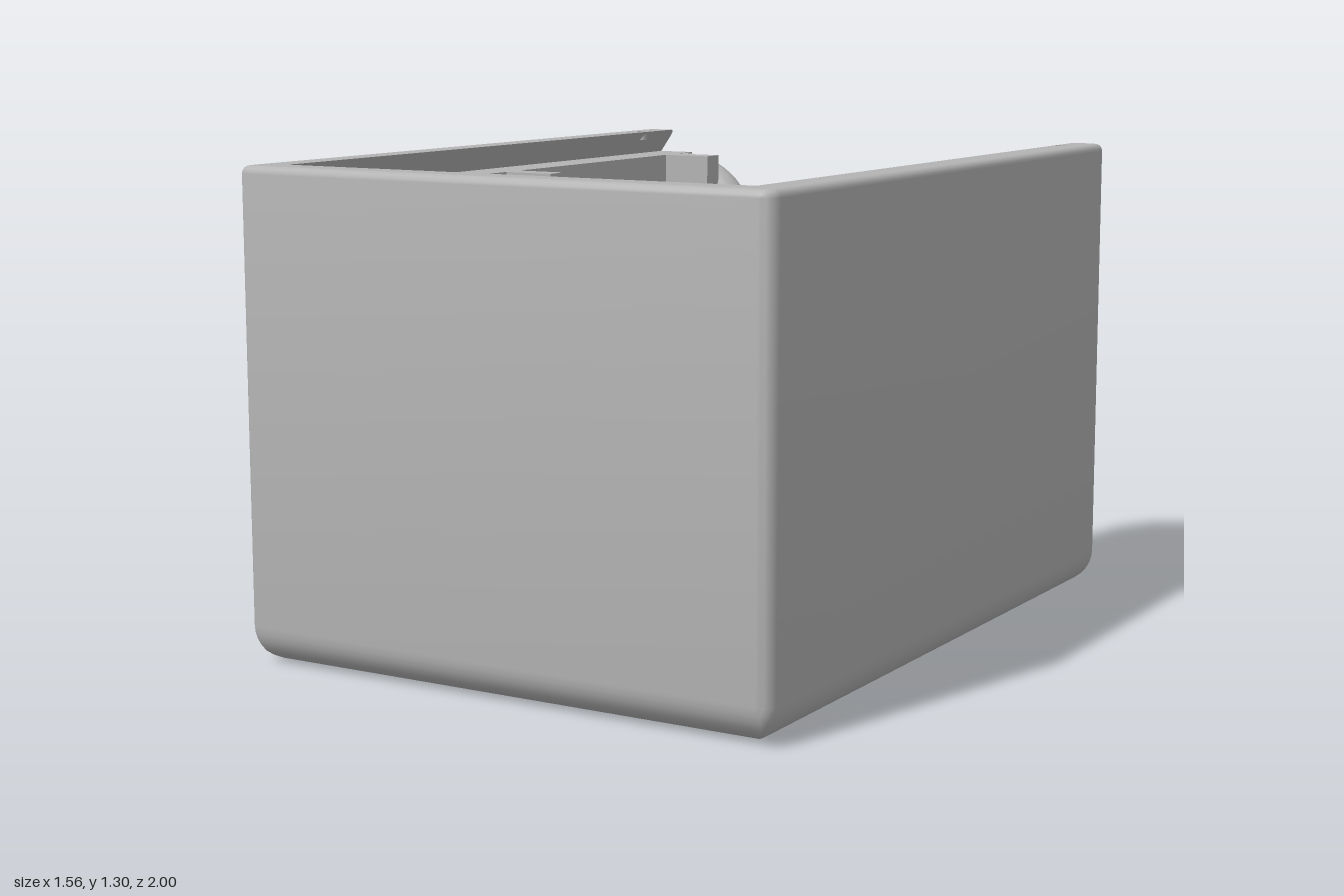
import * as THREE from 'three';
import { toCreasedNormals } from 'three/addons/utils/BufferGeometryUtils.js';

const W = 0.78, H = 1.3, D = 1;               // half width, height, half depth
const LEDGE = 1.23, FLOOR = 0.05;             // lid ledge and floor heights
const FOOT = 0.1, RIM = 0.02, CORNER = 0.04;  // edge radii
const NOSE = 0.05;                            // rounded edge of the back cutout

// How far the outer skin is drawn in at height y
function inset(y) {
  if (y < FOOT) return FOOT - Math.sqrt(Math.max(0, FOOT ** 2 - (FOOT - y) ** 2));
  if (y > H - RIM) return RIM - Math.sqrt(Math.max(0, RIM ** 2 - (y - H + RIM) ** 2));
  return 0;
}
const cornerRadius = (d) => Math.max(CORNER - d, 0.005);
// x where the flat of the back face meets the rounded corner
const backEdge = (y) => W - inset(y) - cornerRadius(inset(y));

// Outline from the back left corner round the front to the back right corner
function outline(d) {
  const r = cornerRadius(d), x = W - d - r, z = D - d - r, pts = [];
  [[x, -z, -90], [x, z, 0], [-x, z, 90], [-x, -z, 180]].forEach(([cx, cz, start]) => {
    for (let i = 0; i <= 6; i++) {
      const a = THREE.MathUtils.degToRad(start + i * 15);
      pts.push([cx + r * Math.cos(a), cz + r * Math.sin(a)]);
    }
  });
  return pts;
}

// Surface through rows of equal length
function loft(rows, crease = 0.6) {
  const n = rows[0].length, index = [];
  for (let j = 0; j < rows.length - 1; j++) {
    for (let i = 0; i < n - 1; i++) {
      const a = j * n + i, b = a + n;
      index.push(a, b, a + 1, b, b + 1, a + 1);
    }
  }
  const g = new THREE.BufferGeometry();
  g.setAttribute('position', new THREE.Float32BufferAttribute(rows.flat(2), 3));
  g.setIndex(index);
  return toCreasedNormals(g, crease);
}

export function createModel() {
  const model = new THREE.Group();
  model.name = 'openTray';
  const grey = new THREE.MeshStandardMaterial({ color: 0xb4b4b4, side: THREE.DoubleSide });
  grey.name = 'grey';
  const add = (name, geometry) => {
    const mesh = new THREE.Mesh(geometry, grey);
    mesh.name = name;
    model.add(mesh);
    return mesh;
  };
  const block = (name, x0, x1, y0, y1, z0, z1) =>
    add(name, new THREE.BoxGeometry(Math.abs(x1 - x0), y1 - y0, z1 - z0))
      .position.set((x0 + x1) / 2, (y0 + y1) / 2, (z0 + z1) / 2);

  // Outer skin with rounded foot and rim
  const heights = [], rimHeights = [];
  for (let i = 0; i <= 8; i++) heights.push(FOOT * (1 - Math.cos((i / 8) * Math.PI / 2)));
  for (let i = 0; i <= 4; i++) rimHeights.push(H - RIM + RIM * Math.sin((i / 4) * Math.PI / 2));
  heights.push(...rimHeights);
  add('outerWalls', loft(heights.map((y) => outline(inset(y)).map(([x, z]) => [x, y, z]))));

  // Underside, floor and the low strip beneath the cutout
  const base = add('underside', new THREE.PlaneGeometry(2 * (W - FOOT), 2 * (D - FOOT)));
  base.rotation.x = Math.PI / 2;
  block('floor', -0.64, 0.64, 0.01, FLOOR, -0.93, 0.86);
  add('backSill', loft([0, 0.003, 0.006, 0.01].map((y) =>
    [-1, 1].map((s) => [s * backEdge(y), y, -D + inset(y)]))));

  // Inner walls: undercut lid groove, ledge, then straight down to the floor
  const grooveX = (y) => W - 0.095 + 0.05 * (H - y) / (H - LEDGE);
  const inner = [...rimHeights].reverse().map((y) => [W - grooveX(y), y, -D + inset(y)]);
  inner.push([0.045, LEDGE, -D], [0.16, LEDGE, -D], [0.16, FLOOR, -0.95]);
  add('innerWalls', loft(inner.map(([d, y, back]) => [
    [W - d, y, back], [W - d, y, D - d], [d - W, y, D - d], [d - W, y, back],
  ])));

  // Flat top rim, open at the back, with two pin holes
  const open = W - 0.095, end = -D + RIM;
  const rim = [...outline(RIM), [-open, end], [-open, D - 0.095], [open, D - 0.095], [open, end]];
  const rimShape = new THREE.Shape(rim.map(([x, z]) => new THREE.Vector2(x, -z)));
  [-1, 1].forEach((s) => rimShape.holes.push(
    new THREE.Path().absarc(s * 0.705, 0.835, 0.015, 0, Math.PI * 2, true)));
  const top = add('topRim', new THREE.ShapeGeometry(rimShape, 8));
  top.rotation.x = -Math.PI / 2;
  top.position.y = H;

  // Half outline of the back cutout: [x, y, normal x, normal y], normals into the wall
  const cut = [[0, 0.06, 0, -1]];
  for (let i = 0; i <= 14; i++) {
    const a = (i / 14) * Math.PI / 2, c = Math.cos(a), s = Math.sin(a);
    cut.push([0.16 + 0.2 * s, 0.26 - 0.2 * c, s, -c]);
  }
  for (let i = 0; i <= 14; i++) {
    const a = (i / 14) * Math.PI / 2, c = Math.cos(a), s = Math.sin(a);
    cut.push([0.62 - 0.26 * c, 0.97 + 0.26 * s, c, -s]);
  }

  [1, -1].forEach((s) => {
    const side = s > 0 ? 'left' : 'right';

    // Back wall half with a fully rounded edge along the cutout
    add(side + 'BackWall', loft(cut.map(([x, y, nx, ny]) => {
      const yo = y + ny * NOSE;
      const row = [[s * backEdge(yo), yo, -D + inset(yo)]];
      for (let k = 0; k <= 10; k++) {
        const a = (k / 10) * Math.PI, o = NOSE * (1 - Math.sin(a)), py = y + ny * o;
        const z = Math.max(-D + NOSE - NOSE * Math.cos(a), -D + inset(py));
        row.push([s * (x + nx * o), py, z]);
      }
      row.push([s * 0.66, yo, -0.9]);
      return row;
    })));
    block(side + 'BackShoulder', s * 0.62, s * 0.74, 1.1, LEDGE, -D, -0.9);

    // End of the lid groove lip
    add(side + 'LipEnd', loft([LEDGE, ...rimHeights].map((y) =>
      [grooveX(y), backEdge(y)].map((x) => [s * x, y, -D + inset(y)]))));

    // Pin hole lining
    add(side + 'PinHole', new THREE.CylinderGeometry(0.015, 0.015, 0.025, 20, 1, true))
      .position.set(s * 0.705, H - 0.0125, -0.835);

    // Upright ribs inside
    block(side + 'MiddleRib', s * 0.47, s * 0.63, 0.03, LEDGE, -0.035, 0.03);
    block(side + 'BackRib', s * 0.47, s * 0.63, 0.03, LEDGE, -0.91, -0.84);
  });

  return model;
}
